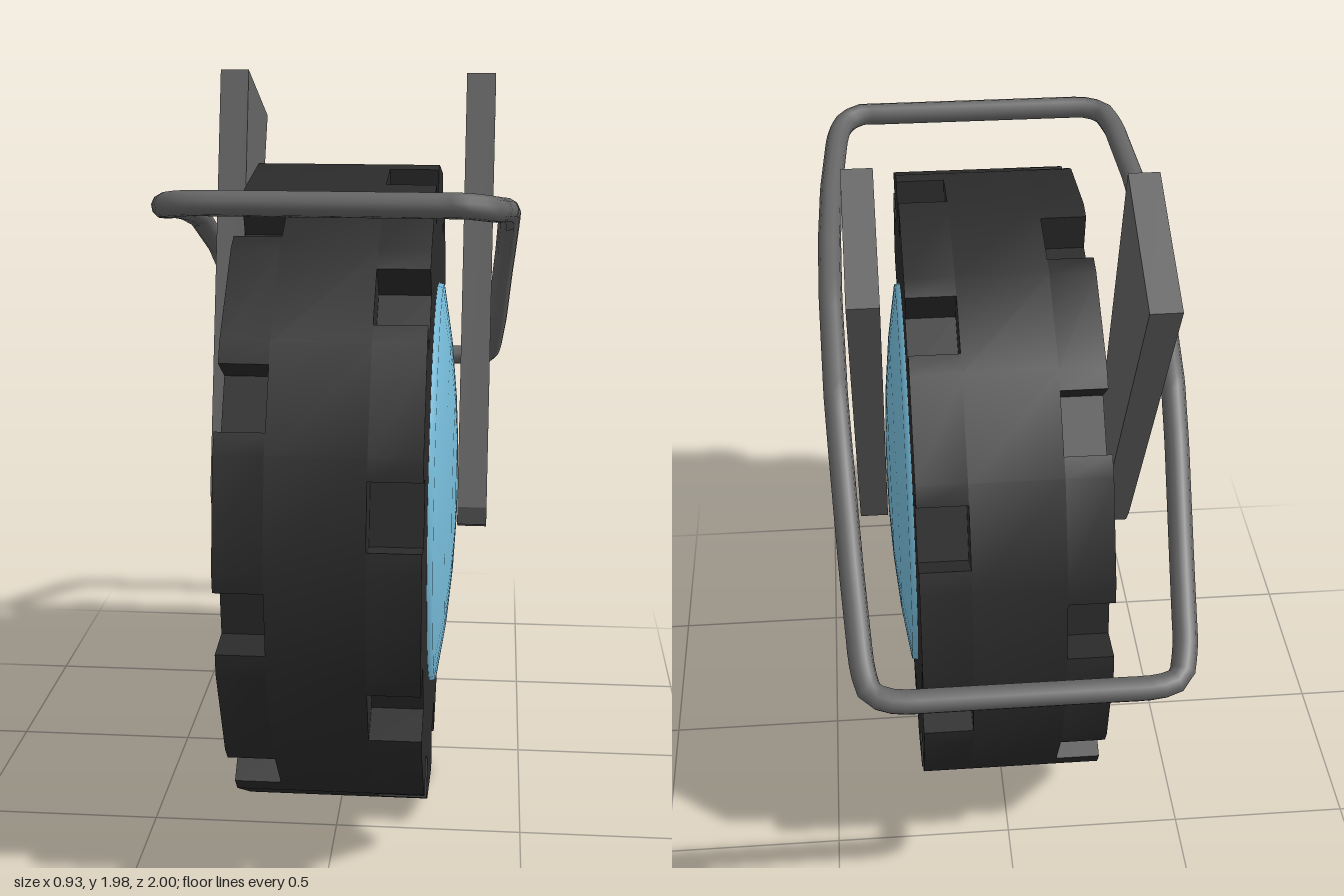
import * as THREE from 'three';
import { toCreasedNormals } from 'three/addons/utils/BufferGeometryUtils.js';

const rubber = new THREE.MeshStandardMaterial({ color: 0x2b2b2b, name: 'black rubber' });
const metal = new THREE.MeshStandardMaterial({ color: 0x656565, name: 'grey metal' });
const paint = new THREE.MeshStandardMaterial({ color: 0x78bedc, name: 'blue paint' });

const AXLE_Y = 0.885, AXLE_Z = 0.125, R = 0.877, HALF = 0.245, SIDES = 20;

const points = (list) => list.map(([z, y]) => new THREE.Vector2(z, y));

// Extrudes a (z, y) outline across the model from x0 to x1
function slab(shape, x0, x1) {
  const g = new THREE.ExtrudeGeometry(shape, { depth: x1 - x0, bevelEnabled: false });
  g.rotateY(-Math.PI / 2).translate(x1, 0, 0);
  return toCreasedNormals(g, 0.5);
}

function add(parent, name, geometry, material) {
  const mesh = new THREE.Mesh(geometry, material);
  mesh.name = name;
  parent.add(mesh);
  return mesh;
}

// Tyre outline; facets whose index matches `parity` get a tread notch (-1 for none)
function tyreShape(parity) {
  const at = (k) => {
    const a = ((2.5 + 18 * k) * Math.PI) / 180;
    return new THREE.Vector2(Math.cos(a), Math.sin(a)).multiplyScalar(R);
  };
  const outline = [];
  for (let k = 0; k < SIDES; k++) {
    const a = at(k), b = at(k + 1);
    outline.push(a);
    if (k % 2 !== parity) continue;
    const p = a.clone().lerp(b, 0.2), q = a.clone().lerp(b, 0.8);
    const inward = a.clone().add(b).normalize().multiplyScalar(-0.105);
    outline.push(p, p.clone().add(inward), q.clone().add(inward), q);
  }
  return new THREE.Shape(outline);
}

function wheel() {
  const g = new THREE.Group();
  g.name = 'wheel';
  g.position.set(0, AXLE_Y, AXLE_Z);
  add(g, 'tyreCore', slab(tyreShape(-1), -0.125, 0.115), rubber);
  add(g, 'tyreLugsLeft', slab(tyreShape(0), 0.115, HALF), rubber);
  add(g, 'tyreLugsRight', slab(tyreShape(1), -HALF, -0.125), rubber);
  // Shallow domed hubs
  const profile = points([[0.556, 0.235], [0.55, 0.26], [0.4, 0.284], [0.25, 0.299], [0.12, 0.306], [0, 0.308]]);
  for (const side of [1, -1]) {
    const hub = add(g, side > 0 ? 'hubLeft' : 'hubRight', new THREE.LatheGeometry(profile, 32), paint);
    hub.rotation.z = (-side * Math.PI) / 2;
  }
  return g;
}

// Tapered fork leg: a channel open on its outer side
function forkLeg(side) {
  const g = new THREE.Group();
  g.name = side > 0 ? 'forkLegLeft' : 'forkLegRight';
  g.position.z = side > 0 ? 0 : -0.08;
  const outer = points([[0.216, 0.84], [0.2, 0.785], [0.125, 0.755], [0.075, 0.765], [0.035, 0.82],
    [-0.52, 1.825], [-0.125, 1.99]]);
  const inner = points([[0.165, 0.83], [0.12, 0.8], [0.07, 0.84], [-0.465, 1.8], [-0.15, 1.93]]);
  const rim = new THREE.Shape(outer);
  rim.holes.push(new THREE.Path(inner));
  const span = (shape, a, b) => (side > 0 ? slab(shape, a, b) : slab(shape, -b, -a));
  add(g, 'legRim', span(rim, 0.31, 0.39), metal);
  add(g, 'legPlate', span(new THREE.Shape(inner), 0.31, 0.335), metal);
  if (side < 0) {
    // Dark bolt inside the channel
    const bolt = add(g, 'bolt', new THREE.CylinderGeometry(0.045, 0.045, 0.03, 8), rubber);
    bolt.rotation.z = Math.PI / 2;
    bolt.position.set(-0.345, 1.6, -0.21);
  }
  return g;
}

// Bent tube loop around the wheel
function guard() {
  const half = [[0.33, 1.745, 0.735], [0.385, 1.735, 0.705], [0.405, 1.72, 0.62], [0.425, 1.685, 0.38],
    [0.433, 1.647, 0.165], [0.435, 1.594, -0.05], [0.43, 1.465, -0.34], [0.423, 1.37, -0.476],
    [0.41, 1.18, -0.69], [0.395, 1.04, -0.89], [0.375, 1.005, -0.945], [0.32, 0.995, -0.966]];
  const left = half.map((p) => new THREE.Vector3(...p));
  const right = half.map(([x, y, z]) => new THREE.Vector3(-x, y, z)).reverse();
  const path = new THREE.CurvePath();
  const loop = [...left, ...right];
  loop.forEach((p, i) => path.add(new THREE.LineCurve3(p, loop[(i + 1) % loop.length])));
  const curve = new THREE.CatmullRomCurve3(path.getSpacedPoints(110).slice(0, -1), true);
  return new THREE.TubeGeometry(curve, 160, 0.031, 10, true);
}

export function createModel() {
  const model = new THREE.Group();
  model.name = 'wheelAssembly';
  model.add(wheel(), forkLeg(1), forkLeg(-1));
  add(model, 'guardRail', guard(), metal);
  return model;
}
